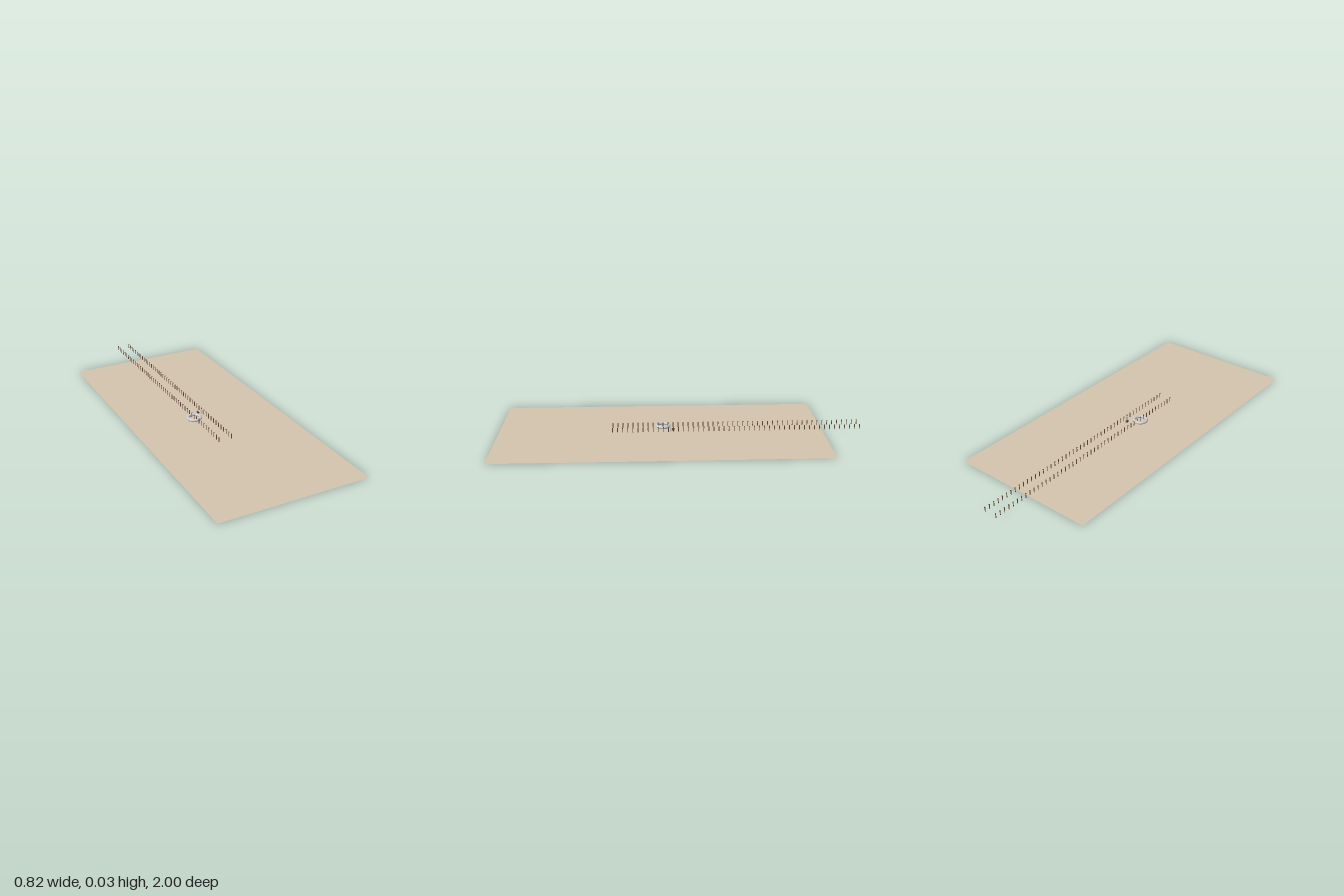
import * as THREE from 'three';

export function createModel() {
  const model = new THREE.Group();
  const sand = new THREE.MeshStandardMaterial({ color: 0xd4c4ad, side: THREE.DoubleSide });
  const grey = new THREE.MeshStandardMaterial({ color: 0xcccccc });
  const brown = new THREE.MeshStandardMaterial({ color: 0x6b4f3a });

  function add(parent, name, geometry, material, x, y, z) {
    const mesh = new THREE.Mesh(geometry, material);
    mesh.name = name;
    mesh.position.set(x, y, z);
    parent.add(mesh);
    return mesh;
  }

  // Flat ground sheet
  add(model, 'ground', new THREE.PlaneGeometry(0.816, 1.785).rotateX(-Math.PI / 2), sand, 0, 0, 0.1075);

  // Two long rows of short capped posts
  const shaft = new THREE.CylinderGeometry(0.002, 0.002, 0.026, 8);
  const cap = new THREE.CylinderGeometry(0.003, 0.003, 0.003, 8);
  const count = 50;
  for (const [name, x] of [['rightPostRow', -0.059], ['leftPostRow', 0.014]]) {
    const row = new THREE.Group();
    row.name = name;
    for (let i = 0; i < count; i++) {
      const z = 0.375 - (i * 1.372) / (count - 1);
      add(row, 'post', shaft, brown, x, 0.014, z);
      add(row, 'postCap', cap, brown, x, 0.0265, z);
    }
    model.add(row);
  }

  // Round inflated ring lying on the ground
  const ring = new THREE.TorusGeometry(0.0345, 0.008, 16, 48).rotateX(Math.PI / 2);
  add(model, 'ring', ring, grey, -0.059, 0.01, 0.095);

  // Small seat with a tall back beside the left row
  const seat = new THREE.Group();
  seat.name = 'seat';
  add(seat, 'seatBase', new THREE.BoxGeometry(0.011, 0.007, 0.012), brown, -0.007, 0.0045, 0.04);
  add(seat, 'seatSide', new THREE.BoxGeometry(0.004, 0.012, 0.012), brown, -0.01, 0.007, 0.04);
  add(seat, 'seatBack', new THREE.BoxGeometry(0.007, 0.025, 0.01), grey, 0.008, 0.0135, 0.054);
  model.add(seat);

  return model;
}
